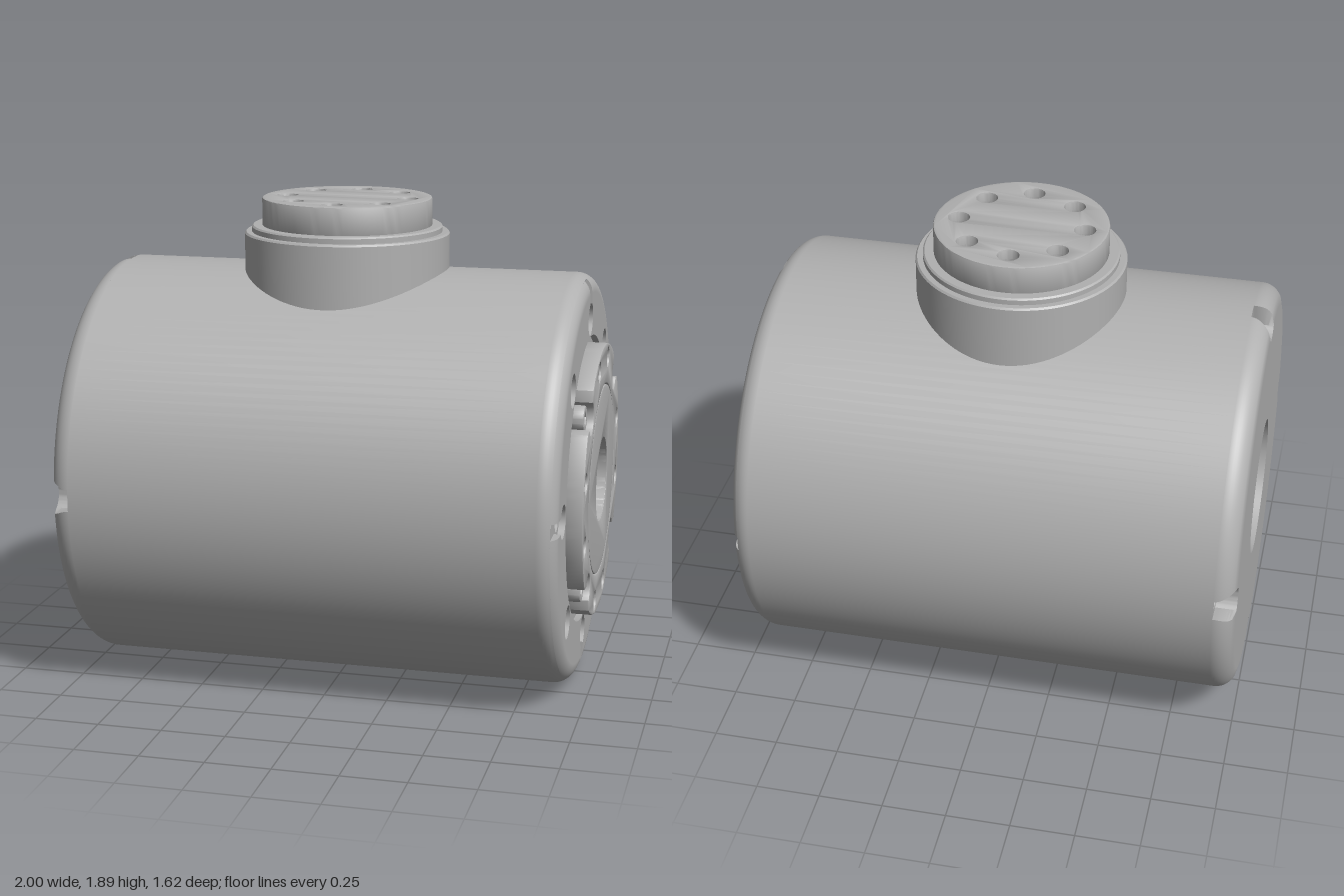
import * as THREE from 'three';
import { toCreasedNormals } from 'three/addons/utils/BufferGeometryUtils.js';

const grey = new THREE.MeshStandardMaterial({ color: 0xb0b0b0 });
grey.name = 'machined grey';

const R = 0.808;          // drum radius, also the height of its axis
const BORE = 0.165;
const TAU = Math.PI * 2;
const turns = (n, start = 0) => Array.from({ length: n }, (_, i) => start + (i * TAU) / n);

function add(parent, name, geometry, z = 0) {
  const mesh = new THREE.Mesh(geometry, grey);
  mesh.name = name;
  mesh.position.z = z;
  parent.add(mesh);
  return mesh;
}

// Turned part about z; points are [radius, z]. Falling z makes the surface face inwards.
function turned(points, sides = 96) {
  const g = new THREE.LatheGeometry(points.map(p => new THREE.Vector2(...p)), sides);
  return toCreasedNormals(g.rotateX(Math.PI / 2), 0.5);
}

// Blind drilled hole, with a conical bottom, opening at z = 0
const drilled = (r, depth) => turned([[r, 0], [r, -depth], [0.0001, -depth - r * 0.5]], 24);

function circle(r, x = 0, y = 0, n = 32) {
  return turns(n).map(a => new THREE.Vector2(x + r * Math.cos(a), y + r * Math.sin(a)));
}

// Outline of a disc with a notch at each angle; notch points are [tangent, radial]
function notchedDisc(r, angles, gap, notch) {
  const pts = [];
  const step = TAU / angles.length;
  for (const a of angles) {
    const c = Math.cos(a), s = Math.sin(a);
    for (const [u, v] of notch) pts.push(new THREE.Vector2(v * c - u * s, v * s + u * c));
    for (let i = 0; i <= 28; i++) {
      const b = a + gap + ((step - 2 * gap) * i) / 28;
      pts.push(new THREE.Vector2(r * Math.cos(b), r * Math.sin(b)));
    }
  }
  return new THREE.Shape(pts);
}

// Arc round the inner side of a notch hole, starting at angle f from the outward radius
function notchArc(centre, h, f, n = 20) {
  return Array.from({ length: n + 1 }, (_, i) => {
    const p = -f - ((TAU - 2 * f) * i) / n;
    return [h * Math.sin(p), centre + h * Math.cos(p)];
  });
}

function punch(shape, holes) {
  for (const [r, x, y] of holes) shape.holes.push(new THREE.Path(circle(r, x, y, r > 0.1 ? 96 : 32)));
  return shape;
}

const ringOfHoles = (r, radius, angles) =>
  angles.map(a => [r, radius * Math.cos(a), radius * Math.sin(a)]);

function plate(shape, depth, bevel = 0) {
  const g = new THREE.ExtrudeGeometry(shape, {
    depth: depth - 2 * bevel, bevelEnabled: bevel > 0, bevelSize: bevel,
    bevelThickness: bevel, bevelOffset: -bevel, bevelSegments: 2,
  });
  return toCreasedNormals(g.translate(0, 0, bevel), 0.5);
}

// Notched end layer whose rim follows a fillet f from offset e0 to its end;
// cut(radius) gives the half angle of each notch where it opens at the rim
function filletLayer(shape, f, e0, cut) {
  let g = new THREE.ExtrudeGeometry(shape, { depth: f - e0, steps: 8, bevelEnabled: false });
  const p = g.attributes.position;
  const onRim = [];
  for (let i = 0; i < p.count; i++) {
    const x = p.getX(i), y = p.getY(i), e = e0 + p.getZ(i);
    onRim.push(Math.hypot(x, y) > R - f - 0.0005);
    if (!onRim[i]) continue;
    const r = R - f + Math.sqrt(Math.max(0, f * f - e * e));
    const a = Math.atan2(y, x);
    const mid = Math.round(a / (Math.PI / 2)) * (Math.PI / 2);
    const b = Math.abs(a - mid) < 0.09 ? mid + Math.sign(a - mid) * cut(r) : a;
    p.setXY(i, r * Math.cos(b), r * Math.sin(b));
  }
  g = toCreasedNormals(g, 0.5);
  const q = g.attributes.position, n = g.attributes.normal;
  const ideal = new THREE.Vector3(), now = new THREE.Vector3();
  for (let i = 0; i < q.count; i++) {
    if (!onRim[i]) continue;
    const a = Math.atan2(q.getY(i), q.getX(i));
    const e = Math.min(f, e0 + q.getZ(i)), w = Math.sqrt(f * f - e * e);
    ideal.set(w * Math.cos(a), w * Math.sin(a), e).normalize();
    if (now.fromBufferAttribute(n, i).dot(ideal) > 0.8) n.setXYZ(i, ideal.x, ideal.y, ideal.z);
  }
  return g;
}

// Output end: slotted face, bolted flange and hub
function outputEnd(drum) {
  const f = 0.075, z = 0.915;
  const quarter = turns(4), eighth = turns(8);
  const top = R - f, edge = Math.sqrt(top * top - 0.03 * 0.03);
  const notch = [[-0.03, edge], ...notchArc(0.635, 0.065, Math.asin(0.03 / 0.065)), [0.03, edge]];
  const face = punch(notchedDisc(top, quarter, 0.1, notch),
    [[0.565, 0, 0], ...ringOfHoles(0.065, 0.635, turns(4, Math.PI / 4))]);
  add(drum, 'slottedFace', filletLayer(face, f, z - 0.865, r => Math.asin(0.03 / r)), z);

  const floor = punch(new THREE.Shape(circle(0.786, 0, 0, 96)),
    [[BORE, 0, 0], ...ringOfHoles(0.04, 0.635, eighth)]);
  add(drum, 'slotFloor', new THREE.ShapeGeometry(floor), z);
  for (const [r, x, y] of ringOfHoles(0.04, 0.635, eighth)) {
    add(drum, 'mountingHole', drilled(r, 0.1), z).position.set(x, y, z);
  }

  // Flange with open bolt pockets
  const rad = THREE.MathUtils.degToRad;
  const bolts = turns(4, rad(137.5));
  const pocket = [[-0.095, 0.526], [-0.076, 0.515], ...notchArc(0.48, 0.062, 1.25),
    [0.076, 0.515], [0.095, 0.526]];
  const screws = [...turns(4, rad(107.5)), ...turns(4, rad(77.5))];
  const flange = punch(notchedDisc(0.535, bolts, 0.2, pocket),
    [[0.378, 0, 0], ...ringOfHoles(0.04, 0.48, screws)]);
  add(drum, 'flange', plate(flange, 0.085, 0.006), z);
  add(drum, 'hub', plate(punch(new THREE.Shape(circle(0.374, 0, 0, 96)), [[BORE, 0, 0]]), 0.085, 0.005), z);

  // Socket head bolts
  const head = new THREE.Shape(circle(0.05));
  head.holes.push(new THREE.Path(circle(0.026, 0, 0, 6)));
  const headGeometry = plate(head, 0.06, 0.006);
  for (const [, x, y] of ringOfHoles(0, 0.48, bolts)) {
    add(drum, 'boltHead', headGeometry).position.set(x, y, z);
  }
}

// Closed end: four rim pockets and a recessed cover with two cable holes
function closedEnd(drum) {
  const end = new THREE.Group();
  end.name = 'closedEnd';
  end.rotation.y = Math.PI;
  drum.add(end);
  const f = 0.08, c = 0.757, h = 0.065, top = R - f;
  const cut = r => Math.acos((r * r + c * c - h * h) / (2 * r * c));
  const start = Math.acos((top * top - c * c - h * h) / (2 * c * h));
  const face = punch(notchedDisc(top, turns(4), 0.1, notchArc(c, h, start)), [[0.27, 0, 0]]);
  add(end, 'pocketedFace', filletLayer(face, f, 0, cut), 0.92);

  const pockets = ringOfHoles(0.03, 0.75, turns(4));
  const floor = punch(new THREE.Shape(circle(R, 0, 0, 96)), [[0.2, 0, 0], ...pockets]);
  add(end, 'pocketFloor', new THREE.ShapeGeometry(floor), 0.92);
  for (const [r, x, y] of pockets) add(end, 'rimHole', drilled(r, 0.06)).position.set(x, y, 0.92);

  const cover = punch(new THREE.Shape(circle(0.27, 0, 0, 96)), [[0.034, -0.095, 0], [0.034, 0.095, 0]]);
  add(end, 'cableCover', plate(cover, 0.02), 0.93);
}

// Round port on top, with its stepped collar and drilled cap
function topPort(model) {
  const port = new THREE.Group();
  port.name = 'topPort';
  port.rotation.x = -Math.PI / 2;
  port.position.x = -0.03;
  model.add(port);
  add(port, 'collar', turned([[0.403, 1.3], [0.403, 1.75], [0.397, 1.757], [0.375, 1.757],
    [0.375, 1.776], [0.369, 1.782], [0.32, 1.782]]));
  const holes = ringOfHoles(0.04, 0.243, turns(8));
  add(port, 'cap', plate(punch(new THREE.Shape(circle(0.334, 0, 0, 96)), holes), 0.12, 0.007), 1.77);
  for (const [r, x, y] of holes) add(port, 'capHole', drilled(r, 0.04)).position.set(x, y, 1.85);
}

export function createModel() {
  const model = new THREE.Group();
  model.name = 'jointHousing';

  // The drum is built along z and turned to lie along x
  const drum = new THREE.Group();
  drum.name = 'drum';
  drum.rotation.y = Math.PI / 2;
  drum.position.y = R;
  model.add(drum);

  const profile = [[R, -0.92], [R, 0.865]];
  for (let i = 1; i <= 5; i++) {
    const e = 0.01 * i;
    profile.push([R - 0.075 + Math.sqrt(0.075 ** 2 - e * e), 0.865 + e]);
  }
  add(drum, 'drumShell', turned(profile, 128));
  add(drum, 'centreBore', turned([[BORE, 0.998], [BORE, -0.93]], 96));
  outputEnd(drum);
  closedEnd(drum);
  topPort(model);
  return model;
}
